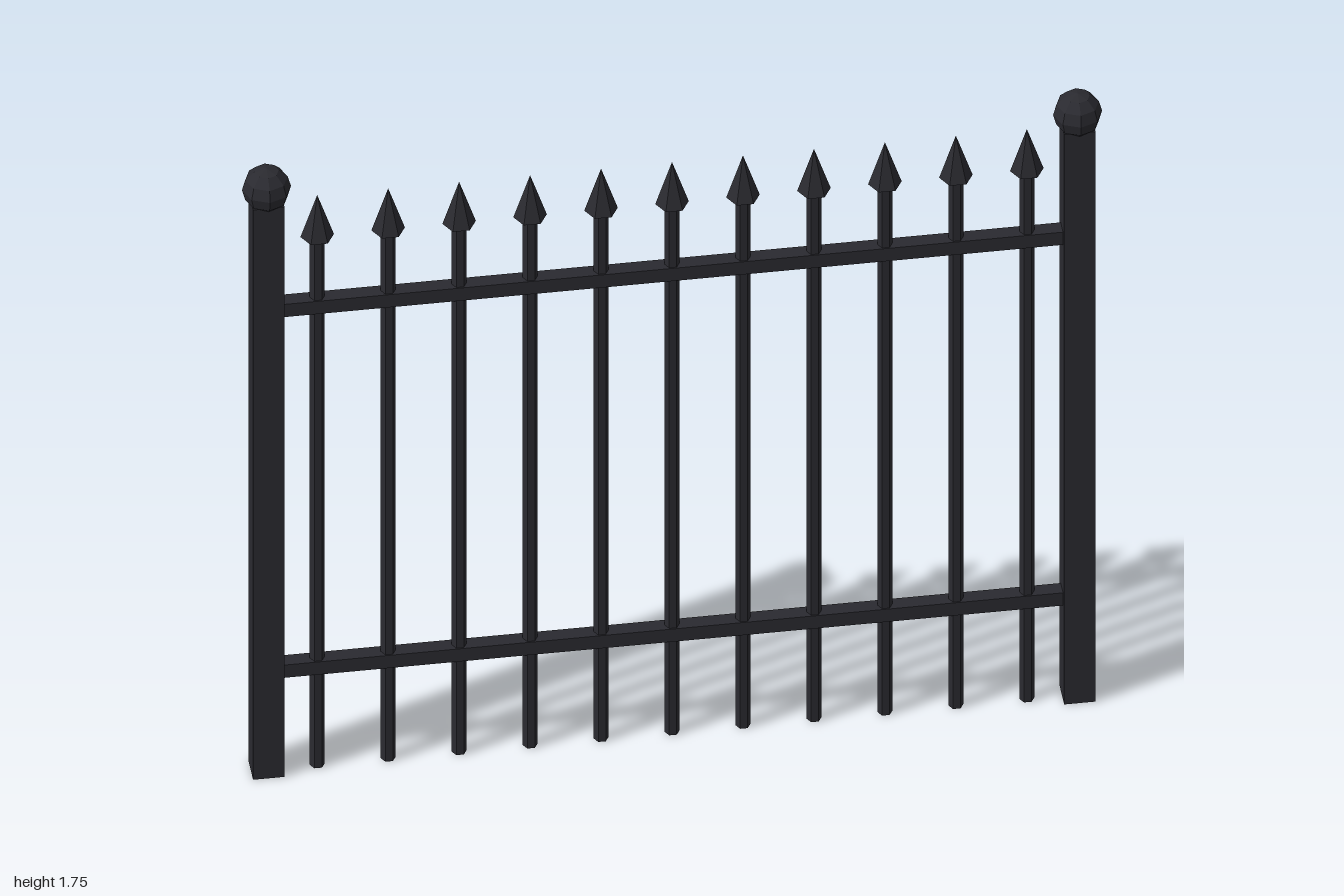
import * as THREE from 'three';

export function createModel() {
  const group = new THREE.Group();
  const iron = new THREE.MeshStandardMaterial({ name: 'dark iron', color: 0x2a2a30 });

  const add = (name, geometry, x, y) => {
    // Flat facets: every face keeps its own normal
    const flat = geometry.index ? geometry.toNonIndexed() : geometry;
    flat.computeVertexNormals();
    const mesh = new THREE.Mesh(flat, iron);
    mesh.name = name;
    mesh.position.set(x, y, 0);
    group.add(mesh);
  };

  // Square end posts with faceted ball caps
  const postHeight = 1.66;
  for (const side of [-1, 1]) {
    const label = side > 0 ? 'left' : 'right';
    add(label + 'Post', new THREE.BoxGeometry(0.073, postHeight, 0.073), side * 0.943, postHeight / 2);
    add(label + 'PostBall', new THREE.SphereGeometry(0.057, 8, 6), side * 0.943, 1.692);
  }

  // Horizontal rails between the posts
  add('lowerRail', new THREE.BoxGeometry(1.83, 0.037, 0.037), 0, 0.293);
  add('upperRail', new THREE.BoxGeometry(1.83, 0.037, 0.037), 0, 1.344);

  // Hexagonal pickets with spear tips, corners pointing along the fence
  const rod = new THREE.CylinderGeometry(0.0175, 0.0175, 1.54, 6).rotateY(Math.PI / 6);
  const tip = new THREE.ConeGeometry(0.039, 0.118, 6).rotateY(Math.PI / 6);
  for (let i = -5; i <= 5; i++) {
    add('picket', rod, i * 0.165, 0.77);
    add('spearTip', tip, i * 0.165, 1.599);
  }
  return group;
}
